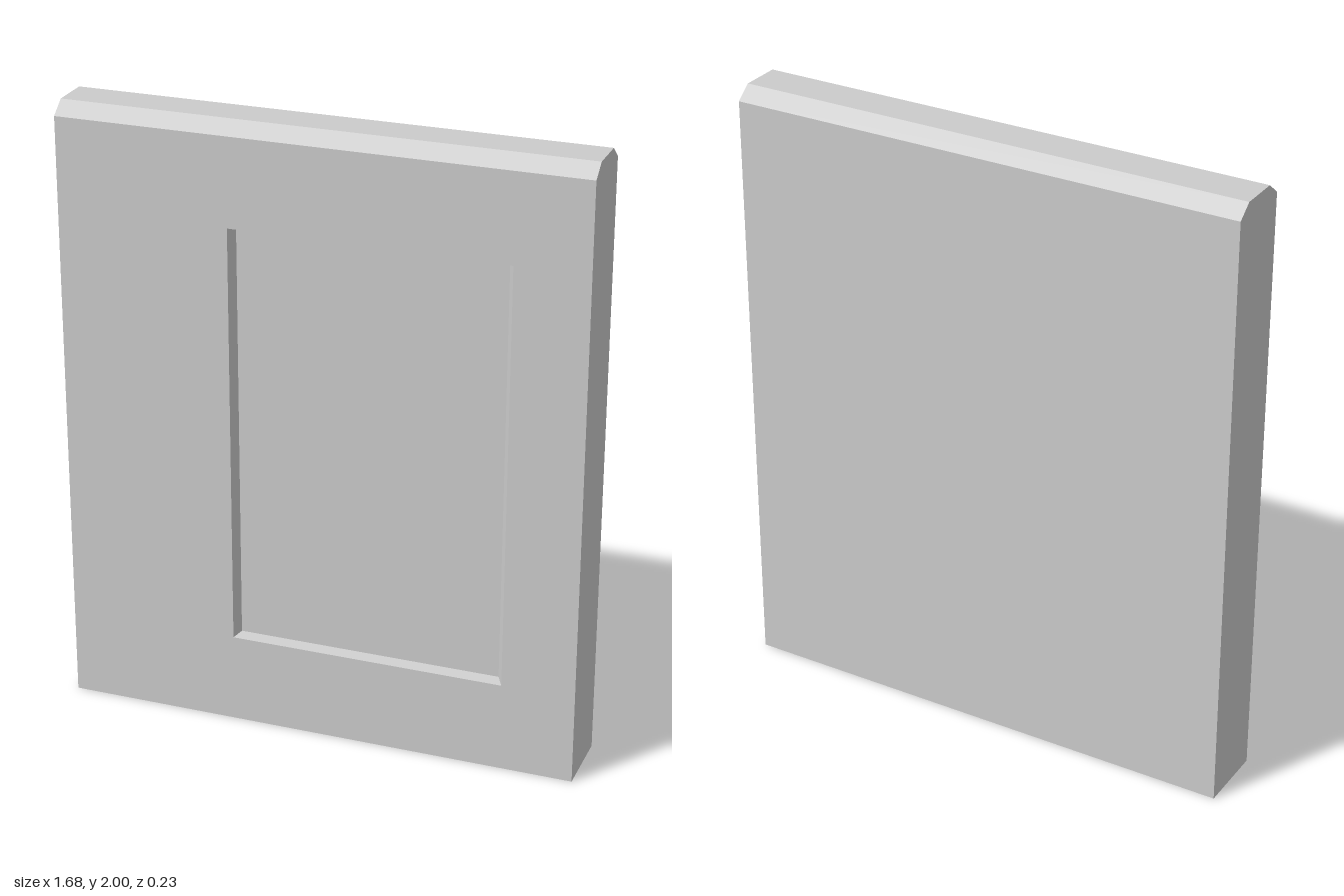
import * as THREE from 'three';

// Rectangular rings from back to front, then into the recess: [x0, x1, y0, y1, z]
const W = 0.84, D = 0.115, TOP = 2, SHOULDER = 1.96, RIDGE = 0.065;
const slabRings = [
  [-W, W, 0, SHOULDER, -D],
  [-W, W, 0, TOP, -RIDGE],
  [-W, W, 0, TOP, RIDGE],
  [-W, W, 0, SHOULDER, D],
];
const recessRings = [
  [-0.285, 0.605, 0.293, 1.673, D],
  [-0.27, 0.585, 0.302, 1.667, D - 0.035],
];

const corners = ([x0, x1, y0, y1, z]) => [[x0, y0, z], [x1, y0, z], [x1, y1, z], [x0, y1, z]];

// Joins consecutive rings with flat quads and closes the chosen ends
function loft(rings, capStart, capEnd) {
  const pos = [];
  const quad = (a, b, c, d) => pos.push(...a, ...b, ...c, ...a, ...c, ...d);
  const loops = rings.map(corners);
  for (let i = 0; i < loops.length - 1; i++) {
    for (let j = 0; j < 4; j++) {
      const k = (j + 1) % 4;
      quad(loops[i][j], loops[i][k], loops[i + 1][k], loops[i + 1][j]);
    }
  }
  if (capStart) quad(...[...loops[0]].reverse());
  if (capEnd) quad(...loops[loops.length - 1]);
  const geo = new THREE.BufferGeometry();
  geo.setAttribute('position', new THREE.Float32BufferAttribute(pos, 3));
  geo.computeVertexNormals();
  return geo;
}

export function createModel() {
  const group = new THREE.Group();
  group.name = 'slab';
  const material = new THREE.MeshStandardMaterial({ color: 0xcccccc, flatShading: true });
  const add = (name, geo) => {
    const mesh = new THREE.Mesh(geo, material);
    mesh.name = name;
    group.add(mesh);
  };

  // Slab with bevelled top edges and a front face framing the recess
  add('slabBody', loft([...slabRings, recessRings[0]], true, false));
  // Shallow tapered walls and inset panel
  add('recessedPanel', loft(recessRings, false, true));
  return group;
}
